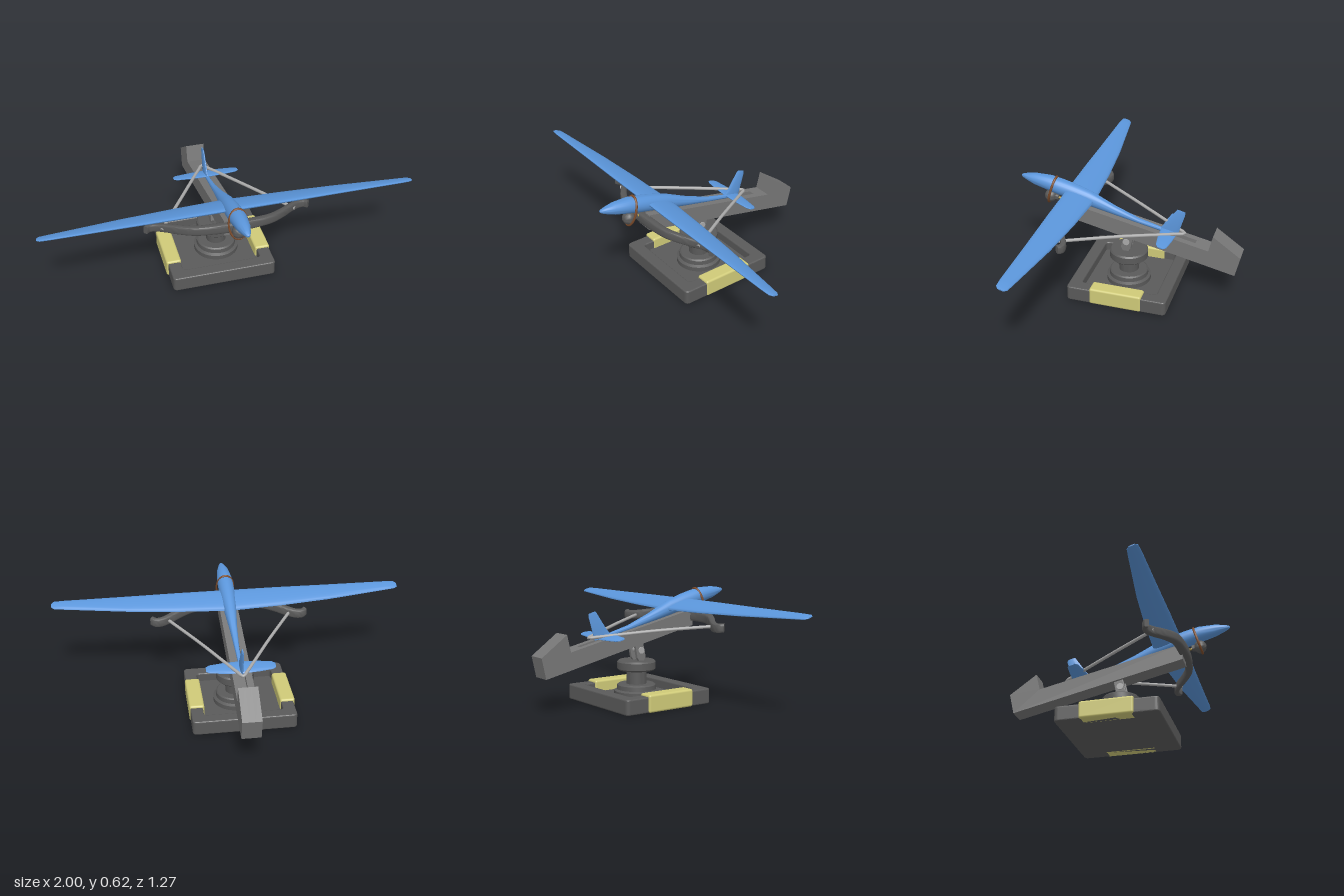
import * as THREE from 'three';
import { toCreasedNormals } from 'three/addons/utils/BufferGeometryUtils.js';
import { RoundedBoxGeometry } from 'three/addons/geometries/RoundedBoxGeometry.js';

const mat = (color) => new THREE.MeshStandardMaterial({ color });
const dark = mat(0x5a5a5a), grey = mat(0x777777), light = mat(0xaaaaaa);
const blue = mat(0x5b96db), yellow = mat(0xcfca78), brown = mat(0x7a4a2a), brass = mat(0xb59a4a);

// Skin a list of closed rings (arrays of [x, y, z]) and cap both ends.
function loft(rings, crease = 0.7) {
  const n = rings[0].length, pos = rings.flat(2), idx = [];
  for (let i = 0; i < rings.length - 1; i++) {
    for (let j = 0; j < n; j++) {
      const a = i * n + j, b = i * n + (j + 1) % n;
      idx.push(a, b, b + n, a, b + n, a + n);
    }
  }
  const last = (rings.length - 1) * n;
  for (let j = 1; j < n - 1; j++) idx.push(0, j + 1, j, last, last + j, last + j + 1);
  const geo = new THREE.BufferGeometry();
  geo.setAttribute('position', new THREE.Float32BufferAttribute(pos, 3));
  geo.setIndex(idx);
  return toCreasedNormals(geo, crease);
}

// Points round a (super)ellipse, passed through a mapping to 3D.
function ring(n, power, map) {
  const p = (t) => Math.sign(t) * Math.abs(t) ** power;
  return Array.from({ length: n }, (_, i) => {
    const a = ((i + 0.5) / n) * Math.PI * 2;
    return map(p(Math.cos(a)), p(Math.sin(a)));
  });
}

// Side profile given as [z, y], extruded to a width centred on x.
function sideProfile(points, width, bevel = 0) {
  const shape = new THREE.Shape(points.map(([z, y]) => new THREE.Vector2(z, y)));
  const geo = new THREE.ExtrudeGeometry(shape, {
    depth: width - 2 * bevel, bevelEnabled: bevel > 0, bevelSize: bevel,
    bevelThickness: bevel, bevelOffset: -bevel, bevelSegments: 2,
  });
  geo.translate(0, 0, -(width - 2 * bevel) / 2);
  return geo.rotateY(-Math.PI / 2);
}

function roundedRect(path, x0, y0, x1, y1, r) {
  path.moveTo(x0 + r, y0);
  path.lineTo(x1 - r, y0).quadraticCurveTo(x1, y0, x1, y0 + r);
  path.lineTo(x1, y1 - r).quadraticCurveTo(x1, y1, x1 - r, y1);
  path.lineTo(x0 + r, y1).quadraticCurveTo(x0, y1, x0, y1 - r);
  path.lineTo(x0, y0 + r).quadraticCurveTo(x0, y0, x0 + r, y0);
  return path;
}

export function createModel() {
  const model = new THREE.Group();
  const add = (name, geo, material, x = 0, y = 0, z = 0, parent = model) => {
    const mesh = new THREE.Mesh(geo, material);
    mesh.name = name;
    mesh.position.set(x, y, z);
    parent.add(mesh);
    return mesh;
  };
  const group = (name) => {
    const g = new THREE.Group();
    g.name = name;
    model.add(g);
    return g;
  };

  // Base tray: raised rim around a sunken floor, with padded grips
  const base = group('base');
  const rim = roundedRect(new THREE.Shape(), -0.31, -0.29, 0.27, 0.278, 0.025);
  rim.holes.push(roundedRect(new THREE.Path(), -0.24, -0.22, 0.2, 0.21, 0.02));
  const rimGeo = new THREE.ExtrudeGeometry(rim, {
    depth: 0.069, bevelSize: 0.008, bevelThickness: 0.008, bevelOffset: -0.008, bevelSegments: 3,
  });
  add('baseRim', rimGeo.rotateX(-Math.PI / 2), dark, 0, 0.008, 0, base);
  add('baseFloor', new THREE.BoxGeometry(0.54, 0.034, 0.53), dark, -0.02, 0.018, 0.006, base);
  for (const x of [-0.278, 0.233]) {
    add('sidePad', new RoundedBoxGeometry(0.084, 0.097, 0.296, 3, 0.012), yellow, x, 0.0485, 0.008, base);
  }

  // Turntable and pedestal
  const pedestal = [
    [0, 0.03], [0.125, 0.03], [0.125, 0.06], [0.11, 0.068], [0.108, 0.092], [0.1, 0.098], [0.056, 0.098],
    [0.056, 0.176], [0.1, 0.176], [0.108, 0.184], [0.108, 0.222], [0.1, 0.23], [0, 0.23],
  ].map(([r, y]) => new THREE.Vector2(r, y));
  add('pedestal', toCreasedNormals(new THREE.LatheGeometry(pedestal, 40), 0.5), dark, 0, 0, 0.007);

  // Tilting bracket with its pivot pin
  const bracket = group('bracket');
  const lug = [[0.045, 0.25], [0.033, 0.225], [0, 0.225], [-0.012, 0.245], [-0.03, 0.34], [0.025, 0.34]].reverse();
  for (const x of [-0.028, 0.028]) add('bracketLug', sideProfile(lug, 0.02, 0.003), grey, x, 0, 0, bracket);
  const pin = add('pivotPin', new THREE.CylinderGeometry(0.019, 0.019, 0.086, 20), light, 0, 0.288, 0.012, bracket);
  pin.rotation.z = Math.PI / 2;

  // Stock: a lower core between two cheeks leaves the launch groove open
  const stock = group('stock');
  const rear = [[-0.455, 0.32], [-0.478, 0.415], [-0.633, 0.305], [-0.607, 0.19], [0.37, 0.405]];
  const cheek = [[0.37, 0.498], ...rear];
  const core = [[0.37, 0.473], [-0.37, 0.313], [-0.376, 0.337], ...rear];
  add('stockCore', sideProfile(core, 0.032), grey, 0, 0, 0, stock);
  for (const x of [-0.034, 0.034]) add('stockCheek', sideProfile(cheek, 0.036), grey, x, 0, 0, stock);

  // Recurved bow lying in the tilted plane of the stock
  const half = [[0.1, 0.373], [0.2, 0.358], [0.28, 0.315], [0.34, 0.272], [0.39, 0.246], [0.425, 0.246], [0.444, 0.262]];
  const bowPath = new THREE.CatmullRomCurve3([
    ...half.map(([x, z]) => [-x, z]).reverse(), [0, 0.376], ...half,
  ].map(([x, z]) => new THREE.Vector3(x, 0, z)));
  const bowRings = [];
  for (let i = 0; i <= 48; i++) {
    const p = bowPath.getPoint(i / 48), t = bowPath.getTangent(i / 48);
    const w = 0.026 - 0.012 * Math.min(1, Math.abs(p.x) / 0.4), h = 0.03 - 0.016 * Math.abs(p.x);
    bowRings.push(ring(16, 0.45, (u, v) => {
      const z = p.z + v * w * t.x;
      return [p.x - v * w * t.z, 0.462 + 0.22 * (z - 0.375) + u * h, z];
    }));
  }
  add('bow', loft(bowRings), dark);

  // Drawn bowstring
  const stringPath = new THREE.CatmullRomCurve3([
    [-0.365, 0.437, 0.285], [-0.19, 0.414, 0.0], [-0.03, 0.384, -0.268], [0, 0.379, -0.312],
    [0.03, 0.384, -0.268], [0.19, 0.414, 0.0], [0.365, 0.437, 0.285],
  ].map((p) => new THREE.Vector3(...p)), false, 'centripetal');
  add('bowstring', new THREE.TubeGeometry(stringPath, 80, 0.009, 10), light);

  // Glider fuselage, sections as [z, bottom, top, half width] from tail to nose
  const glider = group('glider');
  const body = [
    [-0.27, 0.362, 0.372, 0.005], [-0.18, 0.372, 0.396, 0.01], [-0.05, 0.4, 0.43, 0.014], [0.09, 0.432, 0.486, 0.023],
    [0.23, 0.465, 0.553, 0.037], [0.33, 0.492, 0.585, 0.043], [0.4, 0.508, 0.603, 0.045], [0.46, 0.525, 0.615, 0.044],
    [0.55, 0.55, 0.617, 0.034], [0.6, 0.571, 0.61, 0.02], [0.625, 0.584, 0.604, 0.011], [0.632, 0.59, 0.6, 0.005],
  ].map(([z, b, t, w]) => ring(24, 1, (u, v) => [u * w, (b + t) / 2 + v * (t - b) / 2, z]));
  add('fuselage', loft(body, 0.9), blue, 0, 0, 0, glider);

  // Mirrored flying surface, stations as [x, trailing z, leading z, half thickness]
  const surface = (stations, height, slope) => {
    const full = [...stations.slice(1).reverse().map(([x, ...s]) => [-x, ...s]), ...stations];
    return loft(full.map(([x, a, b, h]) => ring(20, 0.9, (u, v) => {
      const z = (a + b) / 2 + v * (b - a) / 2;
      return [x, height + slope * z + u * h, z];
    })), 0.9);
  };
  add('wing', surface([
    [0, 0.2, 0.36, 0.016], [0.3, 0.217, 0.36, 0.014], [0.58, 0.242, 0.357, 0.011],
    [0.93, 0.288, 0.355, 0.008], [0.985, 0.296, 0.352, 0.007], [1, 0.308, 0.34, 0.003],
  ], 0.443, 0.3), blue, 0, 0, 0, glider);
  add('tailplane', surface([
    [0, -0.27, -0.178, 0.008], [0.1, -0.262, -0.184, 0.007],
    [0.17, -0.252, -0.194, 0.006], [0.188, -0.24, -0.207, 0.003],
  ], 0.43, 0.22), blue, 0, 0, 0, glider);

  // Tail fin, sections as [front z, front y, rear z, rear y, half thickness]
  const fin = [
    [-0.165, 0.385, -0.272, 0.362, 0.01], [-0.2, 0.425, -0.285, 0.405, 0.009],
    [-0.258, 0.51, -0.31, 0.49, 0.006], [-0.267, 0.52, -0.31, 0.508, 0.003],
  ].map(([fz, fy, rz, ry, h]) => ring(16, 0.9, (u, v) => [
    v * h, (fy + ry) / 2 + u * (fy - ry) / 2, (fz + rz) / 2 + u * (fz - rz) / 2,
  ]));
  add('tailFin', loft(fin, 0.9), blue, 0, 0, 0, glider);

  // Round charge slung under the nose by a tilted strap
  const charge = group('charge');
  const chargeProfile = [
    [0, -0.036], [0.014, -0.033], [0.026, -0.025], [0.034, -0.012], [0.036, 0], [0.034, 0.012],
    [0.027, 0.023], [0.018, 0.03], [0.018, 0.046], [0, 0.046],
  ].map(([r, y]) => new THREE.Vector2(r, y));
  const chargeGeo = toCreasedNormals(new THREE.LatheGeometry(chargeProfile, 28), 0.7);
  add('chargeBody', chargeGeo, dark, 0, 0.493, 0.462, charge).rotation.x = -Math.PI / 2 - 0.1;
  const fuse = add('chargeFuse', new THREE.CylinderGeometry(0.006, 0.006, 0.04, 12), brass, 0, 0.485, 0.408, charge);
  fuse.rotation.x = -Math.PI / 2 - 0.1;
  const strapGeo = new THREE.TorusGeometry(1, 0.1, 10, 48);
  strapGeo.scale(0.05, 0.08, 0.07);
  add('strap', strapGeo, brown, 0, 0.533, 0.45, charge).rotation.x = -0.29;

  return model;
}
